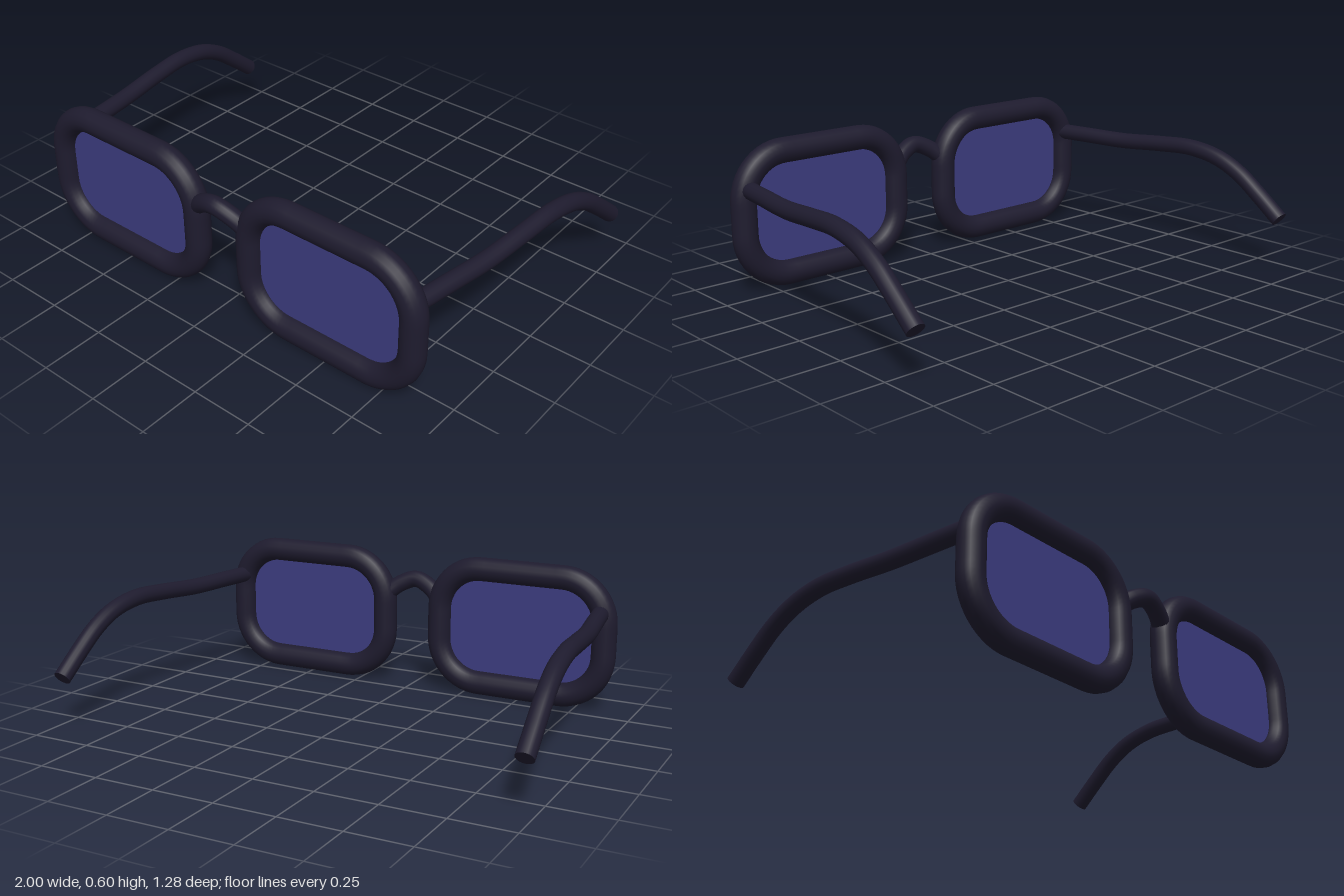
import * as THREE from 'three';

const frameMaterial = new THREE.MeshStandardMaterial({ color: 0x1e1b2e });
const lensMaterial = new THREE.MeshStandardMaterial({ color: 0x3c3c80, side: THREE.DoubleSide });

const RIM_X = 0.498, RIM_Y = 0.302, RIM_Z = 0.57;

// Rounded rectangle along the centre line of a rim
function rimOutline(w, h, r) {
  const s = new THREE.Shape();
  s.moveTo(w - r, -h);
  s.absarc(w - r, -h + r, r, -Math.PI / 2, 0);
  s.absarc(w - r, h - r, r, 0, Math.PI / 2);
  s.absarc(-w + r, h - r, r, Math.PI / 2, Math.PI);
  s.absarc(-w + r, -h + r, r, Math.PI, Math.PI * 1.5);
  s.closePath();
  return s;
}

function addMesh(parent, name, geometry, material) {
  const mesh = new THREE.Mesh(geometry, material);
  mesh.name = name;
  parent.add(mesh);
  return mesh;
}

// Smooth round bar through the given points, closed off by flat discs
function bar(name, points, radius, segments) {
  const group = new THREE.Group();
  group.name = name;
  const curve = new THREE.CatmullRomCurve3(points.map((p) => new THREE.Vector3(...p)));
  addMesh(group, name + 'Tube', new THREE.TubeGeometry(curve, segments, radius, 16), frameMaterial);
  for (const t of [0, 1]) {
    const cap = addMesh(group, name + 'Cap', new THREE.CircleGeometry(radius, 16), frameMaterial);
    const outward = curve.getTangent(t).multiplyScalar(t ? 1 : -1);
    cap.position.copy(curve.getPoint(t));
    cap.quaternion.setFromUnitVectors(new THREE.Vector3(0, 0, 1), outward);
  }
  return group;
}

export function createModel() {
  const model = new THREE.Group();
  model.name = 'glasses';

  const outline = rimOutline(0.366, 0.25, 0.185);
  const rimPoints = outline.getSpacedPoints(72).slice(0, -1).map((p) => new THREE.Vector3(p.x, p.y, 0));
  const rimCurve = new THREE.CatmullRomCurve3(rimPoints, true);
  const rimGeometry = new THREE.TubeGeometry(rimCurve, 96, 0.051, 16, true);
  const lensGeometry = new THREE.ShapeGeometry(outline, 12);

  for (const side of [1, -1]) {
    const name = side > 0 ? 'left' : 'right';

    // Rim and flat lens
    const eye = new THREE.Group();
    eye.name = name + 'Eyepiece';
    eye.position.set(side * RIM_X, RIM_Y, RIM_Z);
    addMesh(eye, name + 'Rim', rimGeometry, frameMaterial);
    addMesh(eye, name + 'Lens', lensGeometry, lensMaterial);
    model.add(eye);

    // Temple arm, spreading outward and dropping behind the ear
    const path = [
      [0.848, 0.423, 0.56], [0.872, 0.423, 0.4], [0.902, 0.423, 0.2], [0.925, 0.437, 0],
      [0.939, 0.443, -0.16], [0.948, 0.419, -0.3], [0.955, 0.368, -0.41],
      [0.96, 0.291, -0.515], [0.964, 0.205, -0.622],
    ];
    model.add(bar(name + 'Temple', path.map(([x, y, z]) => [side * x, y, z]), 0.035, 48));
  }

  // Arched nose bridge
  model.add(bar('bridge', [
    [-0.13, 0.4, 0.57], [-0.07, 0.447, 0.592], [0, 0.472, 0.604],
    [0.07, 0.447, 0.592], [0.13, 0.4, 0.57],
  ], 0.036, 28));

  return model;
}
